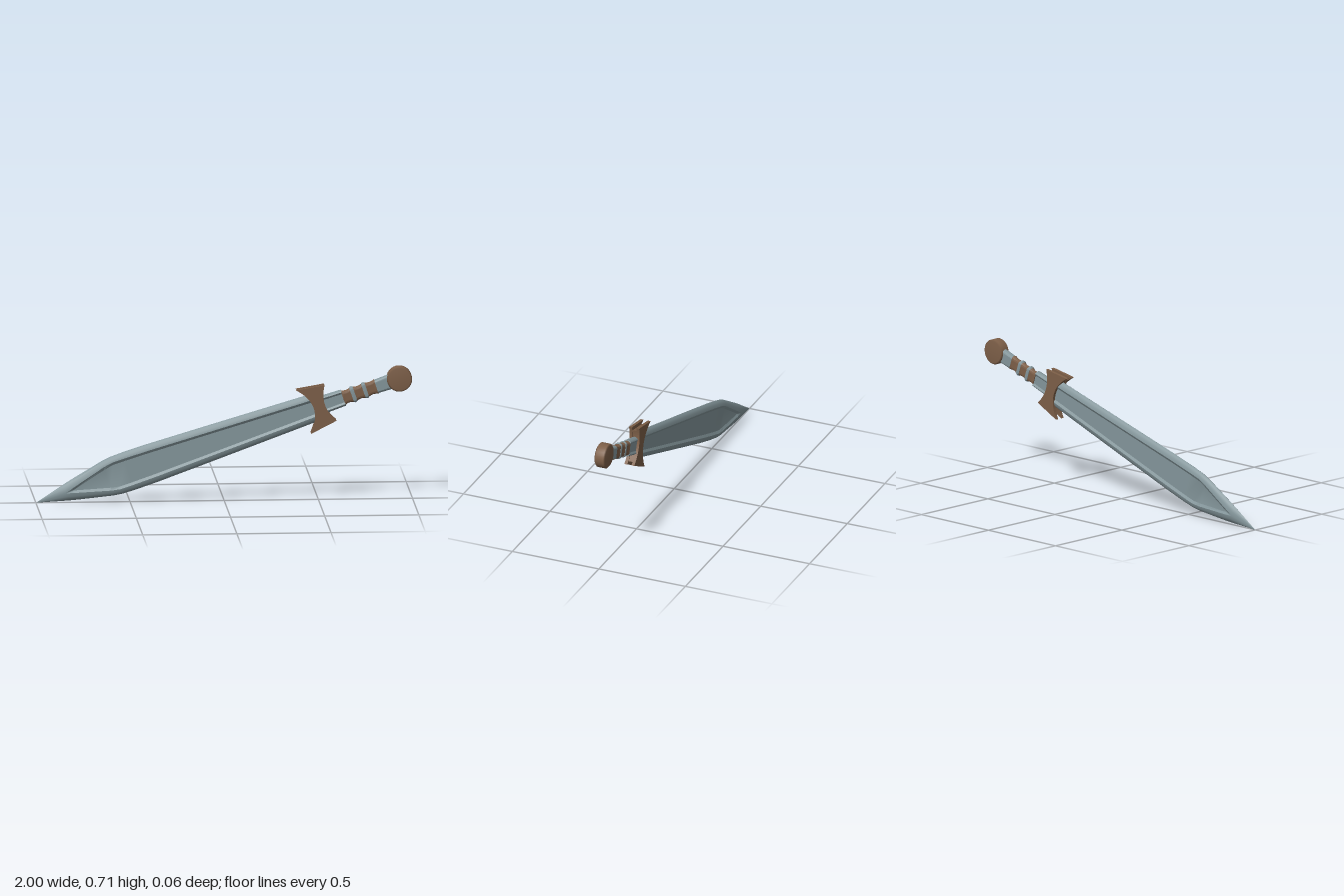
import * as THREE from 'three';
import { toCreasedNormals } from 'three/addons/utils/BufferGeometryUtils.js';

// Local frame: x runs from blade tip to pommel, y across the blade, z through it.

// Closed section: sharp edge, rounded bevel up to a crest, then a recessed flat panel.
function section([u, w, c, p, t, g]) {
  const mix = (k) => c + (w - c) * k;
  const quarter = [[w, 0], [mix(0.8), t * 0.5], [mix(0.45), t * 0.85], [c, t], [p, g]];
  const half = [...quarter, ...quarter.slice(1).reverse().map(([y, z]) => [-y, z])];
  const ring = [...half, [-w, 0], ...half.slice(1).reverse().map(([y, z]) => [y, -z])];
  return ring.map(([y, z]) => new THREE.Vector3(u, y, z));
}

// Skin the sections [x, edge, crest, panel, thickness, panel height], closing both ends flat
function loft(stations) {
  const first = stations[0], last = stations[stations.length - 1];
  const rings = [[first[0], 0, 0, 0, 0, 0], ...stations, [last[0], 0, 0, 0, 0, 0]].map(section);
  const points = [];
  const tri = (a, b, c) => {
    if (new THREE.Triangle(a, b, c).getArea() > 1e-9) points.push(a, b, c);
  };
  for (let i = 0; i < rings.length - 1; i++) {
    const A = rings[i], B = rings[i + 1];
    A.forEach((a, j) => {
      const k = (j + 1) % A.length;
      tri(a, A[k], B[j]);
      tri(A[k], B[k], B[j]);
    });
  }
  return toCreasedNormals(new THREE.BufferGeometry().setFromPoints(points), 0.5);
}

// Flared guard outline with concave sides
function guardShape(x0, x1, waist0, waist1, y0, y1) {
  const s = new THREE.Shape();
  s.moveTo(x0, -y0);
  s.lineTo(x1, -y1);
  s.quadraticCurveTo(2 * waist1 - x1, 0, x1, y1);
  s.lineTo(x0, y0);
  s.quadraticCurveTo(2 * waist0 - x0, 0, x0, -y0);
  return s;
}

export function createModel() {
  const steel = new THREE.MeshStandardMaterial({ color: 0x84969b });
  steel.name = 'steel';
  const bronze = new THREE.MeshStandardMaterial({ color: 0x7d5f48 });
  bronze.name = 'brown bronze';

  const sword = new THREE.Group();
  sword.name = 'sword';
  const add = (name, geometry, material, z = 0) => {
    const mesh = new THREE.Mesh(geometry, material);
    mesh.name = name;
    mesh.position.z = z;
    sword.add(mesh);
    return mesh;
  };

  // Blade with a leaf point and a long recessed panel
  add('blade', loft([
    [0, 0, 0, 0, 0, 0],
    [0.17, 0.046, 0.002, 0.001, 0.021, 0.021],
    [0.215, 0.057, 0.015, 0.002, 0.022, 0.014],
    [0.40, 0.098, 0.066, 0.051, 0.022, 0.014],
    [0.45, 0.105, 0.075, 0.061, 0.022, 0.014],
    [0.52, 0.107, 0.075, 0.061, 0.022, 0.014],
    [0.65, 0.106, 0.073, 0.059, 0.022, 0.014],
    [1.00, 0.095, 0.062, 0.049, 0.022, 0.014],
    [1.50, 0.078, 0.047, 0.034, 0.022, 0.014],
    [1.59, 0.075, 0.045, 0.032, 0.022, 0.014],
  ]), steel);

  // Guard: two face plates around a smaller core, leaving a channel at each end
  const plate = guardShape(1.497, 1.649, 1.555, 1.617, 0.124, 0.101);
  const core = guardShape(1.515, 1.635, 1.56, 1.612, 0.102, 0.084);
  const extrude = (shape, depth) =>
    new THREE.ExtrudeGeometry(shape, { depth, bevelEnabled: false, curveSegments: 16 });
  add('guardFrontPlate', extrude(plate, 0.017), bronze, 0.012);
  add('guardBackPlate', extrude(plate, 0.017), bronze, -0.029);
  add('guardCore', extrude(core, 0.026), bronze, -0.013);

  // Steel collars at both ends of the grip
  add('lowerCollar', loft([
    [1.59, 0.050, 0.036, 0.026, 0.021, 0.015],
    [1.722, 0.046, 0.033, 0.023, 0.021, 0.015],
  ]), steel);
  add('upperCollar', loft([
    [1.905, 0.038, 0.026, 0.020, 0.020, 0.020],
    [1.985, 0.041, 0.028, 0.020, 0.020, 0.020],
  ]), steel);

  // Waisted grip sections parted by raised steel rings
  [[1.72, 1.77], [1.784, 1.836], [1.85, 1.907]].forEach(([a, b], i) => {
    const stations = [0, 0.25, 0.5, 0.75, 1].map((k) => {
      const w = 0.041 - 0.006 * Math.sin(Math.PI * k);
      return [a + (b - a) * k, w, w * 0.66, w * 0.5, w * 0.47, w * 0.47];
    });
    add('gripSection' + (i + 1), loft(stations), bronze);
  });
  [1.777, 1.843].forEach((u, i) => {
    add('gripRing' + (i + 1), loft([
      [u - 0.010, 0.040, 0.027, 0.020, 0.020, 0.020],
      [u - 0.004, 0.045, 0.030, 0.022, 0.022, 0.022],
      [u + 0.004, 0.045, 0.030, 0.022, 0.022, 0.022],
      [u + 0.010, 0.040, 0.027, 0.020, 0.020, 0.020],
    ]), steel);
  });

  // Disc pommel with softened rims
  const profile = [[0, -0.03], [0.059, -0.03], [0.067, -0.023], [0.067, 0.023], [0.059, 0.03], [0, 0.03]];
  const disc = new THREE.LatheGeometry(profile.map(([r, y]) => new THREE.Vector2(r, y)), 32);
  const pommel = add('pommel', disc.rotateX(Math.PI / 2), bronze);
  pommel.position.x = 2.035;

  // Lean the sword so it rests on its tip
  sword.rotation.z = THREE.MathUtils.degToRad(18.5);
  sword.position.x = -1;
  const model = new THREE.Group();
  model.name = 'model';
  model.add(sword);
  return model;
}
